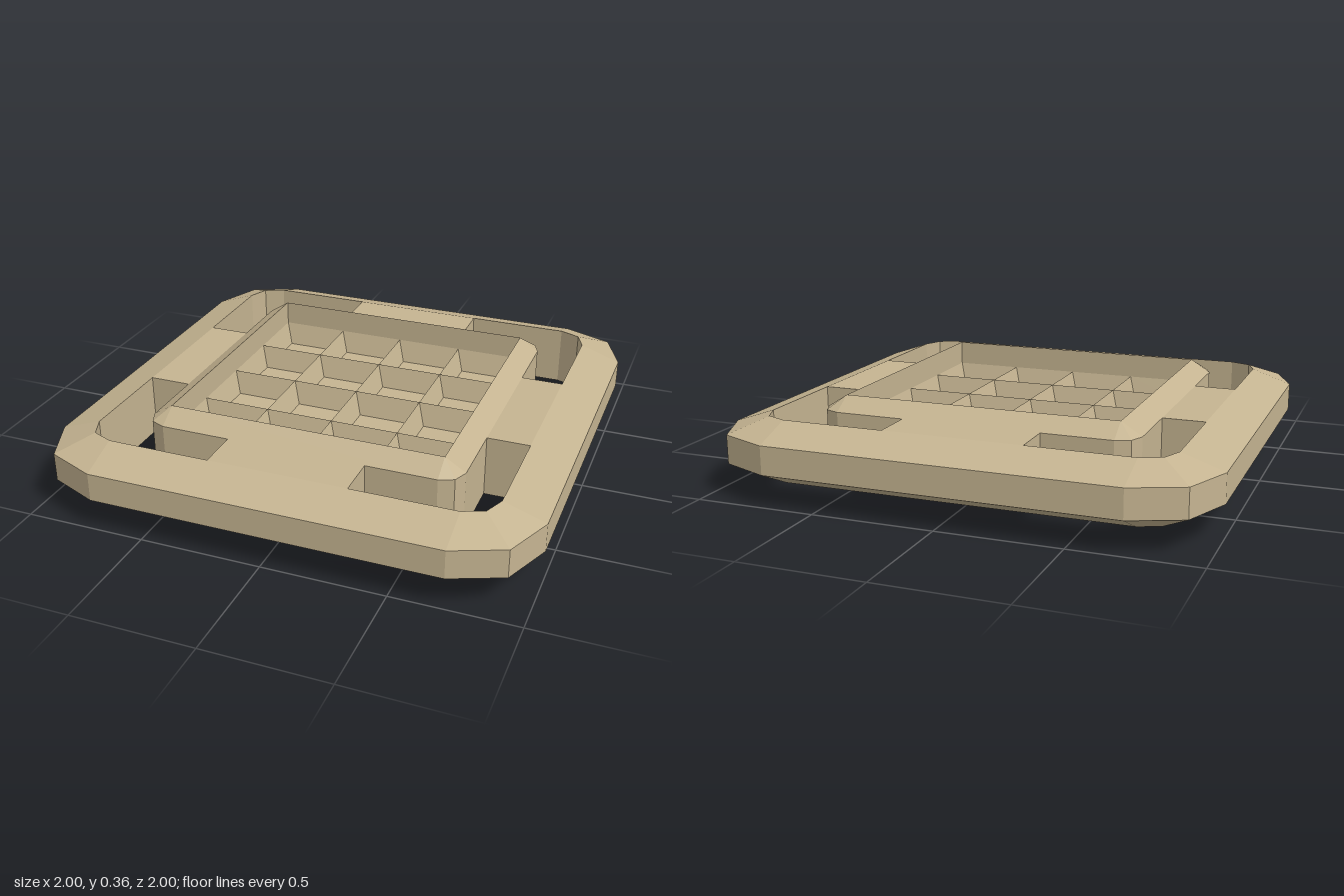
import * as THREE from 'three';

// Square outline of half size c whose corners bulge outwards by r in two facets
function outline(c, r, y, cx, cz) {
  const pts = [];
  for (let q = 0; q < 4; q++) {
    const mid = Math.PI / 4 + q * Math.PI / 2;
    for (let k = -1; k <= 1; k++) {
      const a = mid + k * Math.PI / 4;
      pts.push(new THREE.Vector3(
        cx + c * Math.SQRT2 * Math.cos(mid) + r * Math.cos(a),
        y,
        cz + c * Math.SQRT2 * Math.sin(mid) + r * Math.sin(a)));
    }
  }
  return pts;
}

// Skin a list of [half size, corner bulge, height] outlines with flat facets
function loft(sections, cx = 0, cz = 0) {
  const loops = sections.map(([c, r, y]) => outline(c, r, y, cx, cz));
  const pos = [];
  const tri = (a, b, c) => {
    const area = b.clone().sub(a).cross(c.clone().sub(a)).length();
    if (area > 1e-7) for (const p of [a, b, c]) pos.push(p.x, p.y, p.z);
  };
  for (let s = 0; s + 1 < loops.length; s++) {
    const a = loops[s], b = loops[s + 1], n = a.length;
    for (let i = 0; i < n; i++) {
      const j = (i + 1) % n;
      tri(a[i], b[i], b[j]);
      tri(a[i], b[j], a[j]);
    }
  }
  const geo = new THREE.BufferGeometry();
  geo.setAttribute('position', new THREE.Float32BufferAttribute(pos, 3));
  geo.computeVertexNormals();
  return geo;
}

export function createModel() {
  const model = new THREE.Group();
  model.name = 'gridTrayInFrame';
  const sand = new THREE.MeshStandardMaterial({ color: 0xc5b491 });
  sand.name = 'sand';

  const add = (name, geo, parent = model) => {
    const mesh = new THREE.Mesh(geo, sand);
    mesh.name = name;
    parent.add(mesh);
  };

  const low = 0.05, high = 0.305, ridge = 0.255, floor = 0.16;

  // Outer frame, tapering towards its rim
  add('outerFrame', loft([
    [0.71, 0.12, low], [0.71, 0.29, 0.13], [0.71, 0.29, 0.247],
    [0.71, 0.12, high], [0.71, 0.12, low],
  ]));

  // Four bridges from the frame to the tray
  for (let i = 0; i < 4; i++) {
    const geo = new THREE.BoxGeometry(0.57, high - low, 0.18);
    geo.translate(0, (high + low) / 2, 0.74);
    geo.rotateY(i * Math.PI / 2);
    add('bridge' + (i + 1), geo);
  }

  // Tray body: closed bottom, chamfered edges, straight inner walls
  add('tray', loft([
    [0, 0, 0], [0.572, 0, 0], [0.572, 0.084, low],
    [0.572, 0.084, high], [0.572, 0, 0.358], [0.572, 0, ridge],
  ]));

  // Tapered cells whose shared edges form the ridges of the grid
  const cells = new THREE.Group();
  cells.name = 'cells';
  model.add(cells);
  const half = 0.572 / 4;
  for (let i = 0; i < 4; i++) {
    for (let j = 0; j < 4; j++) {
      add('cell', loft(
        [[half, 0, ridge], [half - 0.03, 0, floor], [0, 0, floor]],
        (2 * i - 3) * half, (2 * j - 3) * half), cells);
    }
  }
  return model;
}
